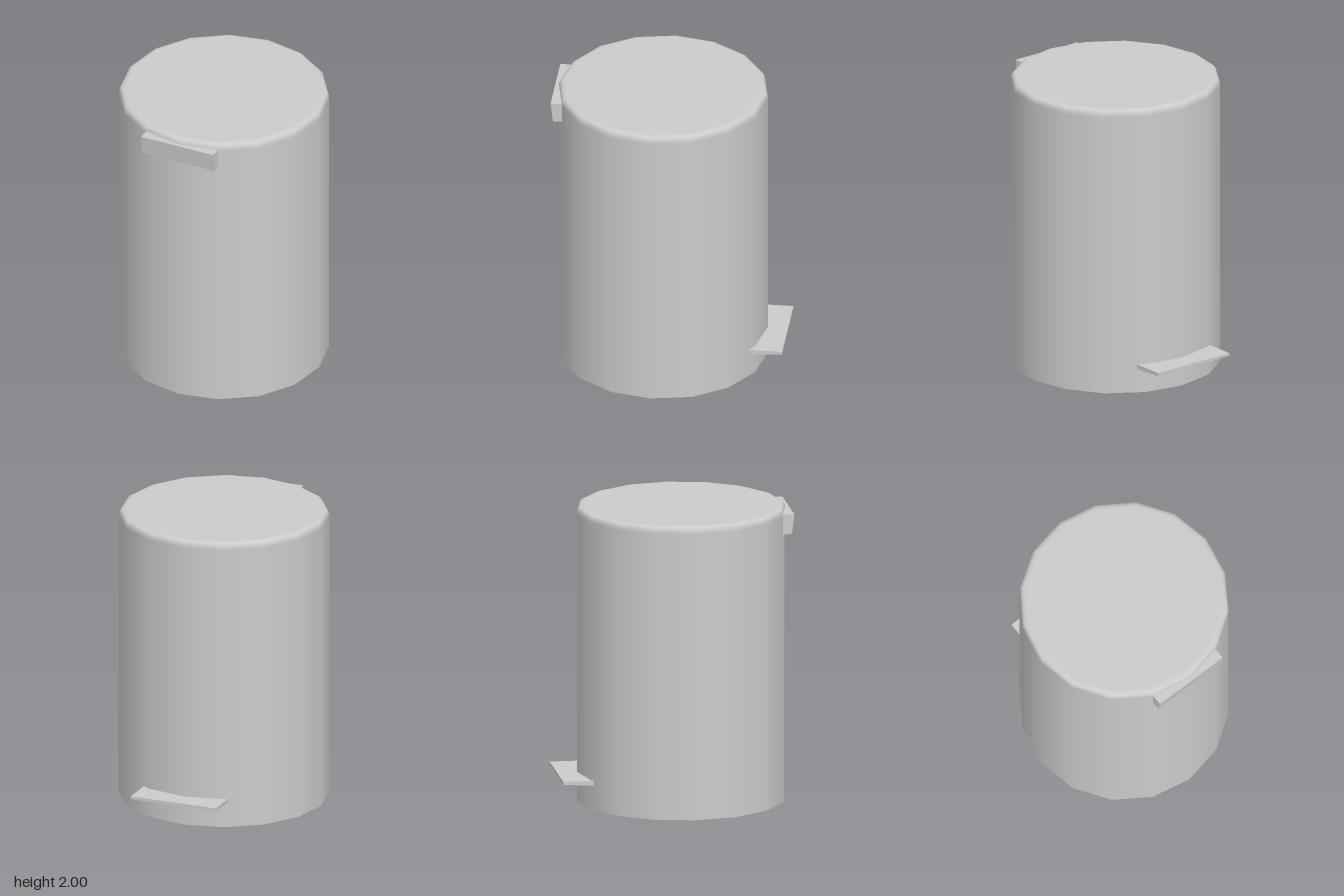
import * as THREE from 'three';

const grey = new THREE.MeshStandardMaterial({ color: 0xcccccc, side: THREE.DoubleSide });

// Box face order: +x, -x, +y, -y, +z, -z
const FACE = { bottom: 3, front: 4, back: 5 };

// Box shell whose corners are placed by rule: corner(isTop, isFront) -> [y, z].
// Faces listed in open are left out.
function wedgeShell(name, x0, x1, corner, open) {
  const geo = new THREE.BoxGeometry(1, 1, 1);
  const pos = geo.attributes.position;
  for (let i = 0; i < pos.count; i++) {
    const [y, z] = corner(pos.getY(i) > 0, pos.getZ(i) > 0);
    pos.setXYZ(i, pos.getX(i) > 0 ? x1 : x0, y, z);
  }
  const kept = Array.from(geo.index.array).filter((v, i) => !open.includes(Math.floor(i / 6)));
  geo.setIndex(kept);
  geo.clearGroups();
  geo.computeVertexNormals();
  const mesh = new THREE.Mesh(geo, grey);
  mesh.name = name;
  return mesh;
}

export function createModel() {
  const bin = new THREE.Group();
  bin.name = 'pedalBin';

  // Sixteen-sided can, open underneath, with a softly rounded flat lid
  const profile = [
    [0.7, 0], [0.7, 1.95], [0.7, 1.965], [0.695, 1.983],
    [0.684, 1.994], [0.667, 2], [0.65, 2], [0, 2],
  ].map(([r, y]) => new THREE.Vector2(r, y));
  const can = new THREE.Mesh(new THREE.LatheGeometry(profile, 16), grey);
  can.name = 'canWithLid';
  can.position.z = 0.055;
  bin.add(can);

  // Lid handle: front leans forward towards the top, back sits against the can
  bin.add(wedgeShell('lidHandle', -0.265, 0.265,
    (top, front) => [top ? 1.965 : 1.83, front ? (top ? 0.778 : 0.762) : 0.7],
    [FACE.back]));

  // Foot pedal: hollow tread with a thin skirt that deepens towards the can
  bin.add(wedgeShell('footPedal', -0.295, 0.318,
    (top, front) => [top ? 0.198 : (front ? 0.165 : 0.178), front ? -0.555 : -0.78],
    [FACE.bottom, FACE.front]));

  return bin;
}
